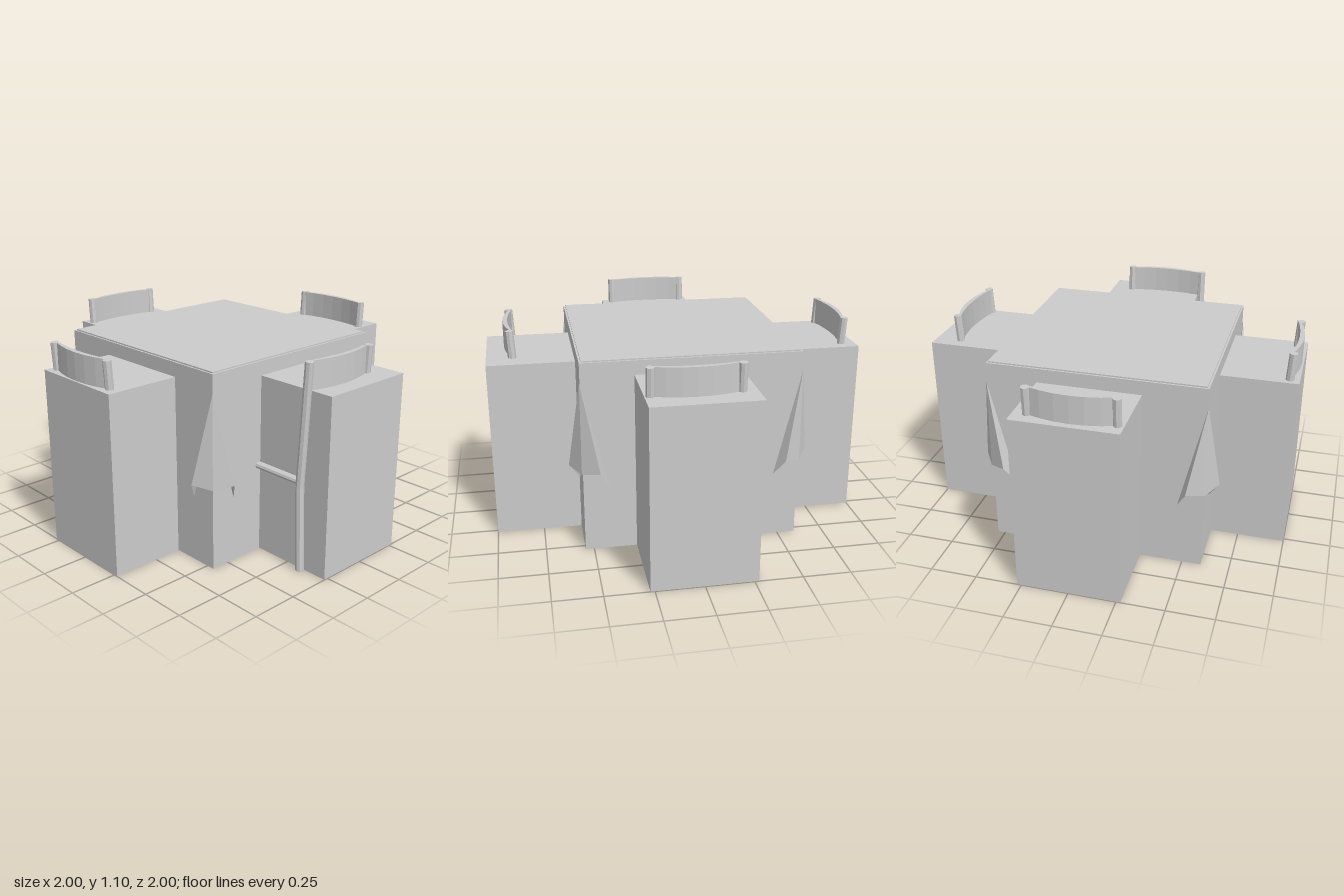
import * as THREE from 'three';

const mat = new THREE.MeshStandardMaterial({ color: 0xcccccc, flatShading: true, side: THREE.DoubleSide });

function add(parent, name, geometry, x = 0, y = 0, z = 0) {
  const mesh = new THREE.Mesh(geometry, mat);
  mesh.name = name;
  mesh.position.set(x, y, z);
  parent.add(mesh);
  return mesh;
}

// Box without its bottom face: a cloth cover hanging to the floor
function coverGeometry(w, h, d) {
  const g = new THREE.BoxGeometry(w, h, d);
  const idx = Array.from(g.index.array);
  idx.splice(18, 6);
  g.setIndex(idx);
  g.clearGroups();
  return g.translate(0, h / 2, 0);
}

// Round rod between two points
function rod(parent, name, a, b, r = 0.022) {
  const from = new THREE.Vector3(...a), to = new THREE.Vector3(...b);
  const dir = to.clone().sub(from);
  const mesh = add(parent, name, new THREE.CylinderGeometry(r, r, dir.length(), 8));
  mesh.position.copy(from).addScaledVector(dir, 0.5);
  mesh.quaternion.setFromUnitVectors(new THREE.Vector3(0, 1, 0), dir.normalize());
}

// Chair facing local -z; c is its sideways shift, foot the distance of the back legs
function createChair(c, foot) {
  const chair = new THREE.Group();
  const half = 0.22, front = foot - 0.455, knee = foot - 0.015, top = foot + 0.022;
  for (const s of [-1, 1]) {
    const x = c + s * half;
    rod(chair, 'backLeg', [x, 0, foot], [x, 0.46, knee]);
    rod(chair, 'backPost', [x, 0.45, knee], [x, 1.1, top]);
    rod(chair, 'frontLeg', [x, 0, front], [x, 0.48, front]);
    rod(chair, 'seatRail', [x, 0.48, front], [x, 0.48, knee], 0.016);
  }
  add(chair, 'seat', new THREE.BoxGeometry(half * 2, 0.03, 0.44), c, 0.48, foot - 0.235);

  // Bowed back slat, extruded upwards from its plan
  const slat = new THREE.Shape();
  slat.moveTo(-half, 0.0);
  slat.quadraticCurveTo(0, -0.08, half, 0.0);
  slat.lineTo(half, 0.012);
  slat.quadraticCurveTo(0, -0.04, -half, 0.012);
  const g = new THREE.ExtrudeGeometry(slat, { depth: 0.16, bevelEnabled: false, curveSegments: 6 });
  g.rotateX(-Math.PI / 2);
  add(chair, 'backSlat', g, c, 0.94, top - 0.006);

  // Cover over the chair
  add(chair, 'chairCover', coverGeometry(0.545, 0.955, 0.54), 0, 0, 0.73);
  return chair;
}

// Flared fold of cloth at a table corner; sx, sz point outwards
function createFold(sx, sz) {
  // along one wall, out from it, height
  const side = [[0.135, 0.004, 0.355], [0.085, 0.065, 0.455]];
  const point = ([a, b, y], onX) => onX ? [sx * b, y, -sz * a] : [-sx * a, y, sz * b];
  const rim = [
    ...side.map(p => point(p, false)),
    [sx * 0.006, 0.435, sz * 0.006],
    ...side.map(p => point(p, true)).reverse(),
  ];
  const apex = [sx * 0.003, 0.93, sz * 0.003];
  const pos = [];
  for (let i = 0; i < rim.length - 1; i++) {
    const tri = sx * sz > 0 ? [apex, rim[i], rim[i + 1]] : [apex, rim[i + 1], rim[i]];
    pos.push(...tri.flat());
  }
  const g = new THREE.BufferGeometry();
  g.setAttribute('position', new THREE.Float32BufferAttribute(pos, 3));
  g.computeVertexNormals();
  return g;
}

export function createModel() {
  const model = new THREE.Group();
  model.name = 'coveredTableWithChairs';

  // Table with its cloth and pedestal
  const table = new THREE.Group();
  table.name = 'table';
  table.position.set(-0.025, 0, 0.03);
  const h = 0.57;
  add(table, 'tablecloth', coverGeometry(h * 2, 1.03, h * 2));
  add(table, 'tableTop', new THREE.BoxGeometry(1.12, 0.02, 1.12), 0, 1.027, 0);
  add(table, 'pedestalBase', new THREE.CylinderGeometry(0.32, 0.36, 0.04, 8), 0, 0.022, 0);
  add(table, 'pedestalColumn', new THREE.CylinderGeometry(0.06, 0.06, 0.98, 8), 0, 0.53, 0);
  for (const sx of [-1, 1]) {
    for (const sz of [-1, 1]) add(table, 'clothFold', createFold(sx, sz), sx * h, 0, sz * h);
  }
  model.add(table);

  // Four chairs: name, turn, sideways shift, distance of the back legs
  const chairs = [
    ['frontChair', 0, -0.01, 0.935],
    ['leftChair', Math.PI / 2, -0.07, 0.85],
    ['backChair', Math.PI, -0.025, 0.845],
    ['rightChair', -Math.PI / 2, 0.02, 0.91],
  ];
  for (const [name, turn, shift, foot] of chairs) {
    const chair = createChair(shift, foot);
    chair.name = name;
    chair.rotation.y = turn;
    model.add(chair);
  }
  return model;
}
